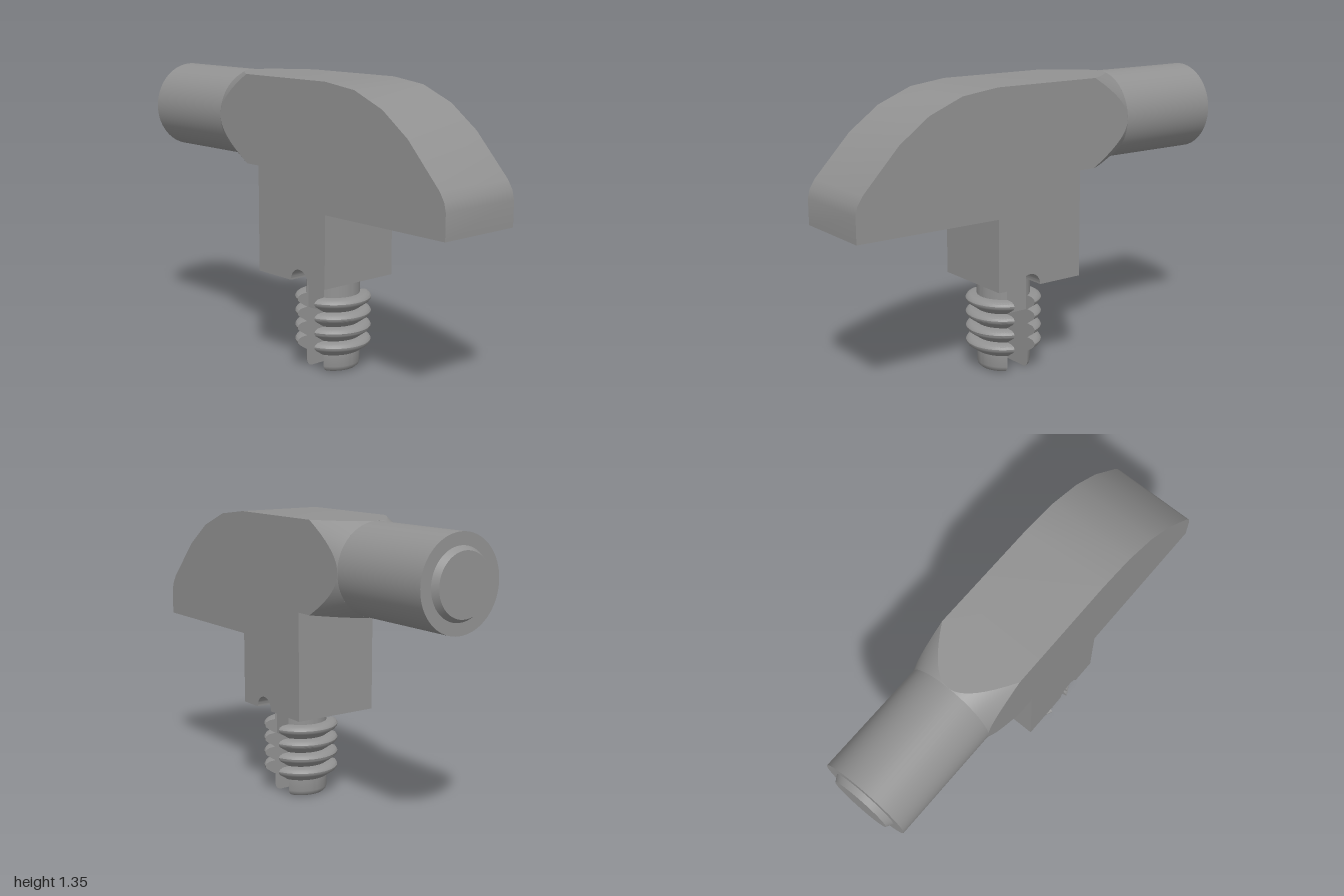
import * as THREE from 'three';
import { toCreasedNormals } from 'three/addons/utils/BufferGeometryUtils.js';

const R = 0.207;          // half width of the body, radius of the rod
const AXIS_Y = 1.138;     // height of the rod axis
const PLUG_Z = 0.128;     // centre of the plug
const SLOT = 0.0575;      // half width of the plug slot
const NOTCH_Y = 0.433;    // start of the arch in the body's underside

const grey = new THREE.MeshStandardMaterial({ color: 0x929292 });
grey.name = 'grey plastic';

function part(name, geometry, crease = 0.3) {
  const mesh = new THREE.Mesh(toCreasedNormals(geometry, crease), grey);
  mesh.name = name;
  return mesh;
}

// Extrudes a side profile, drawn with x = -z, across the width
function extrudeSide(shape, halfWidth) {
  const g = new THREE.ExtrudeGeometry(shape, { depth: 2 * halfWidth, bevelEnabled: false, curveSegments: 16 });
  return g.translate(0, 0, -halfWidth).rotateY(Math.PI / 2);
}

// Hooked body with neck, and the arched notch under it
function makeBody() {
  const s = new THREE.Shape();
  const outline = [[0.3, 0.768], [1, 0.768], [1, 0.885], [0.99, 0.925], [0.965, 0.965], [0.79, 1.15],
    [0.645, 1.255], [0.48, 1.322], [0.3, 1.345], [-0.24, 1.345], [-0.24, 0.931], [-0.157, 0.931], [-0.157, NOTCH_Y]];
  s.moveTo(-0.3, NOTCH_Y);
  outline.forEach(([z, y]) => s.lineTo(-z, y));
  s.lineTo(-PLUG_Z + SLOT, NOTCH_Y);
  s.absarc(-PLUG_Z, NOTCH_Y, SLOT, 0, Math.PI, false);
  s.lineTo(-0.3, NOTCH_Y);
  return part('body', extrudeSide(s, R), 0.6);
}

// Web that fills the middle of the notch and the top of the slot
function makeWeb() {
  const s = new THREE.Shape();
  s.moveTo(-PLUG_Z - SLOT, 0.285);
  s.lineTo(-PLUG_Z + SLOT, 0.285);
  s.lineTo(-PLUG_Z + SLOT, NOTCH_Y);
  s.absarc(-PLUG_Z, NOTCH_Y, SLOT, 0, Math.PI, false);
  return part('web', extrudeSide(s, 0.1));
}

// Square end of the body, cut by a cone that leads into the round rod
function makeCollar() {
  const n = 80, z0 = -0.24, z1 = -0.442;
  const k = (z0 - z1) / (Math.SQRT2 - 1);
  const pos = [], index = [];
  for (let i = 0; i <= n; i++) {
    const a = (i / n) * Math.PI * 2, c = Math.cos(a), s = Math.sin(a);
    const q = 1 / Math.max(Math.abs(c), Math.abs(s));
    const cut = z1 + k * (q - 1);
    for (const [r, z] of [[q, z0], [q, cut], [1, z1]]) pos.push(r * R * c, AXIS_Y + r * R * s, z);
    if (i === n) break;
    for (let j = 0; j < 2; j++) {
      const p = i * 3 + j;
      index.push(p, p + 1, p + 3, p + 3, p + 1, p + 4);
    }
  }
  const g = new THREE.BufferGeometry();
  g.setAttribute('position', new THREE.Float32BufferAttribute(pos, 3));
  g.setIndex(index);
  return part('collar', g);
}

// Round rod with a chamfered boss on its end
function makeRod() {
  const profile = [[R, 0.442], [R, 0.972], [0.153, 0.972], [0.136, 1], [0, 1]].map(p => new THREE.Vector2(...p));
  const g = new THREE.LatheGeometry(profile, 64).rotateX(-Math.PI / 2).translate(0, AXIS_Y, 0);
  return part('rod', g);
}

// Outer profile of the ribbed plug, from the tip upwards
function plugProfile() {
  const pts = [[0.095, 0], [0.11, 0.004], [0.12, 0.013], [0.124, 0.028], [0.124, 0.083]];
  for (let i = 0; i < 4; i++) {
    const y = 0.083 + i * 0.0685;
    [[0.13, 0.003], [0.168, 0.03], [0.175, 0.039], [0.176, 0.048], [0.17, 0.058], [0.155, 0.065], [0.124, 0.067]]
      .forEach(([r, dy]) => pts.push([r, y + dy]));
  }
  pts.push([0.124, 0.44]);
  return pts;
}

// Half of the split plug: a revolved wall trimmed by the slot plane, and its flat face
function makePlugHalf() {
  const half = new THREE.Group();
  half.name = 'plugHalf';
  const pts = plugProfile();
  const profile = [[SLOT, 0], ...pts].map(p => new THREE.Vector2(...p));
  const g = new THREE.LatheGeometry(profile, 32, -Math.PI / 2, Math.PI);
  const pos = g.attributes.position;
  for (let i = 0; i < pos.count; i++) {
    const seg = Math.floor(i / profile.length);
    const r = profile[i % profile.length].x;
    const a = (seg / 32 * 2 - 1) * Math.acos(Math.min(1, SLOT / r));
    pos.setX(i, r * Math.sin(a));
    pos.setZ(i, r * Math.cos(a));
  }
  half.add(part('ribbedWall', g, 0.6));

  const edge = pts.map(([r, y]) => new THREE.Vector2(Math.sqrt(r * r - SLOT * SLOT), y));
  const mirrored = edge.map(p => new THREE.Vector2(-p.x, p.y)).reverse();
  const face = new THREE.ShapeGeometry(new THREE.Shape([...edge, ...mirrored]));
  half.add(part('slotFace', face.rotateY(Math.PI).translate(0, 0, SLOT)));
  return half;
}

export function createModel() {
  const model = new THREE.Group();
  model.name = 'plugFitting';
  model.add(makeBody(), makeWeb(), makeCollar(), makeRod());

  const plug = new THREE.Group();
  plug.name = 'plug';
  plug.position.z = PLUG_Z;
  for (const turn of [0, Math.PI]) {
    const half = makePlugHalf();
    half.rotation.y = turn;
    plug.add(half);
  }
  model.add(plug);
  return model;
}
